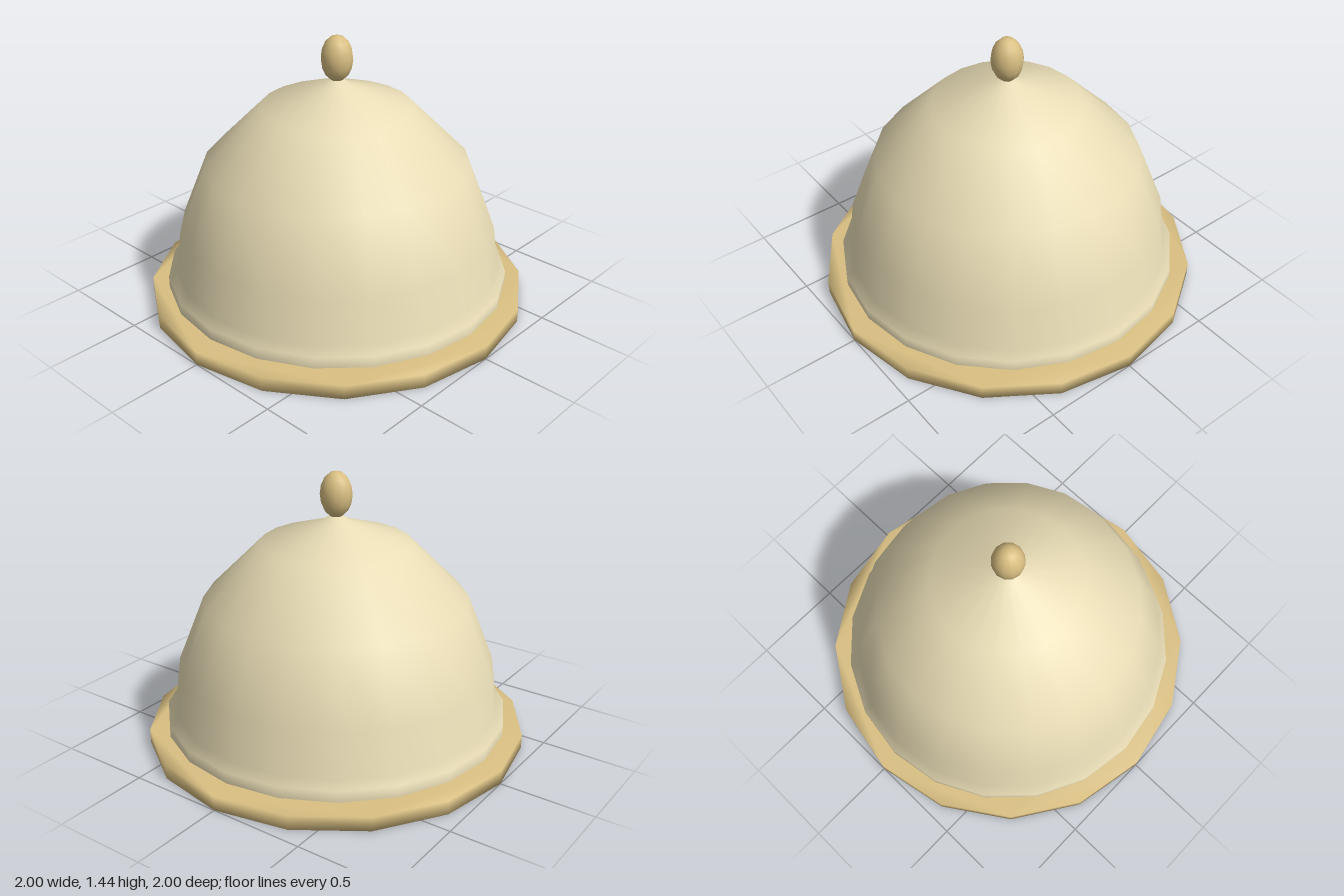
import * as THREE from 'three';
import { mergeVertices } from 'three/addons/utils/BufferGeometryUtils.js';

const material = (color, side = THREE.FrontSide) => {
  const m = new THREE.MeshStandardMaterial({ side });
  m.color.set(color);
  return m;
};

function addPart(group, name, geometry, mat) {
  const mesh = new THREE.Mesh(geometry, mat);
  mesh.name = name;
  group.add(mesh);
  return mesh;
}

// Sixteen-sided slab whose caps and rim share smooth normals
function plateGeometry(radius, height, sides) {
  const points = [];
  for (let i = 0; i < sides; i++) {
    const a = (i / sides) * Math.PI * 2;
    points.push(new THREE.Vector2(Math.cos(a) * radius, Math.sin(a) * radius));
  }
  let geometry = new THREE.ExtrudeGeometry(new THREE.Shape(points), { depth: height, bevelEnabled: false });
  geometry.rotateX(-Math.PI / 2);
  geometry.deleteAttribute('normal');
  geometry.deleteAttribute('uv');
  geometry = mergeVertices(geometry);
  geometry.computeVertexNormals();
  return geometry;
}

export function createModel() {
  const group = new THREE.Group();
  group.name = 'coveredDish';
  const tan = material(0xd9bf82);
  const cream = material(0xe8dcb5, THREE.DoubleSide);

  addPart(group, 'plate', plateGeometry(1, 0.075, 16), tan);

  // Open bell cover: flared rim, faceted dome, small neck
  const profile = [
    [0.905, 0.1], [0.905, 0.16], [0.86, 0.195], [0.83, 0.42], [0.69, 0.77],
    [0.39, 1.07], [0.075, 1.18], [0.03, 1.21], [0, 1.21],
  ].map(([r, y]) => new THREE.Vector2(r, y));
  addPart(group, 'domeCover', new THREE.LatheGeometry(profile, 20), cream);

  // Egg-shaped handle
  const knob = addPart(group, 'knob', new THREE.SphereGeometry(0.083, 12, 8), tan);
  knob.scale.y = 0.12 / 0.083;
  knob.position.y = 1.32;

  return group;
}
